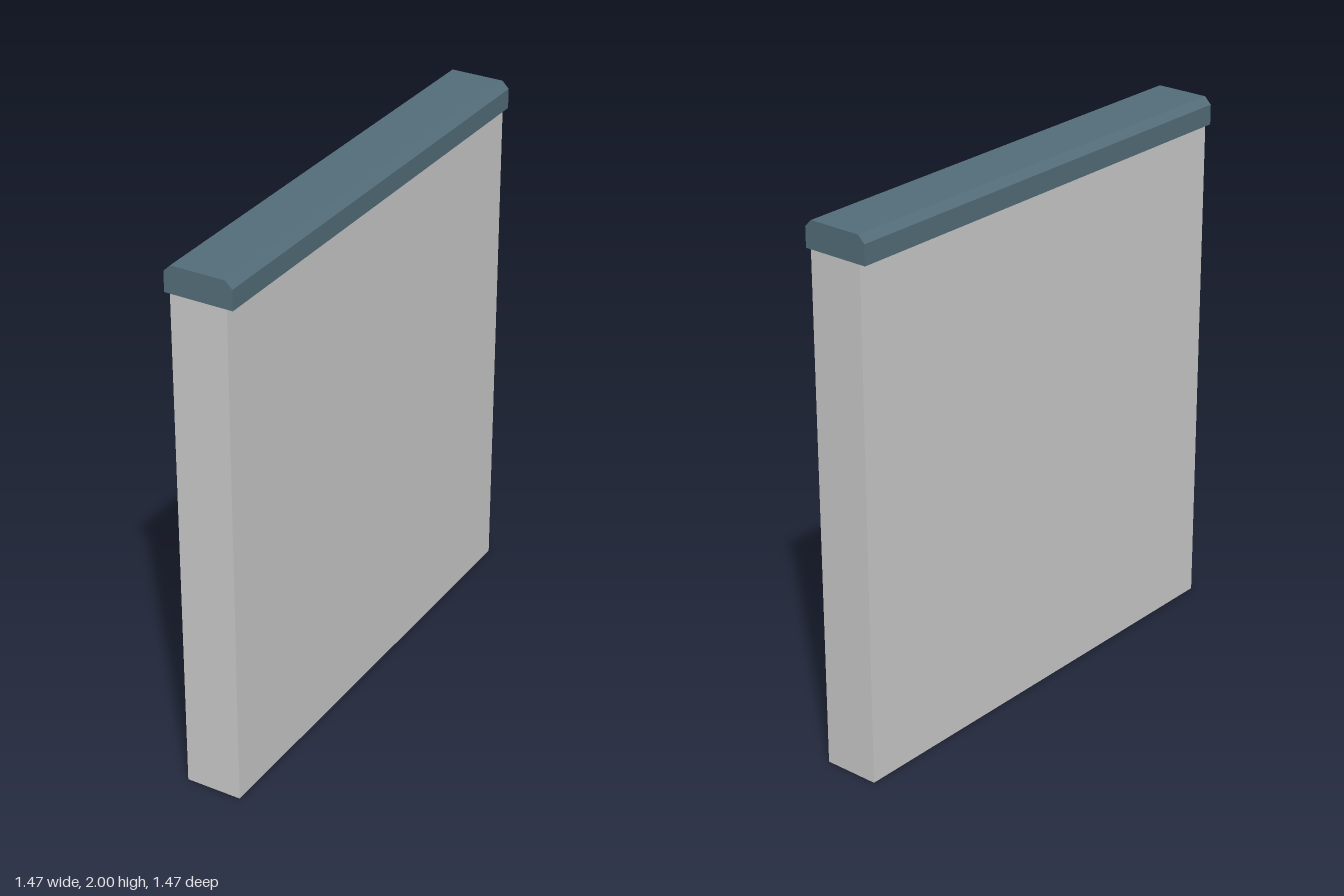
import * as THREE from 'three';

const LENGTH = 1.824;
const WALL_THICKNESS = 0.212;
const WALL_TOP = 1.9;
const CAP_WIDTH = 0.255;
const CAP_HEIGHT = 0.1;
const CHAMFER = 0.026;

export function createModel() {
  const group = new THREE.Group();
  group.name = 'wallPanel';

  // Plain slab standing on the ground
  const wall = new THREE.Mesh(
    new THREE.BoxGeometry(LENGTH, WALL_TOP, WALL_THICKNESS),
    new THREE.MeshStandardMaterial({ color: 0xcccccc })
  );
  wall.name = 'wall';
  wall.position.y = WALL_TOP / 2;
  group.add(wall);

  // Coping with chamfered top edges, overhanging both long faces
  const w = CAP_WIDTH / 2;
  const profile = new THREE.Shape([
    [-w, 0], [w, 0], [w, CAP_HEIGHT - CHAMFER], [w - CHAMFER, CAP_HEIGHT],
    [-w + CHAMFER, CAP_HEIGHT], [-w, CAP_HEIGHT - CHAMFER],
  ].map(([x, y]) => new THREE.Vector2(x, y)));
  const capGeometry = new THREE.ExtrudeGeometry(profile, { depth: LENGTH, bevelEnabled: false });
  capGeometry.translate(0, 0, -LENGTH / 2).rotateY(Math.PI / 2);
  const cap = new THREE.Mesh(
    capGeometry,
    new THREE.MeshStandardMaterial({ color: 0x546e7a, flatShading: true })
  );
  cap.name = 'coping';
  cap.position.y = WALL_TOP;
  group.add(cap);

  // The wall runs diagonally across the plan
  group.rotation.y = Math.PI / 4;
  return group;
}
